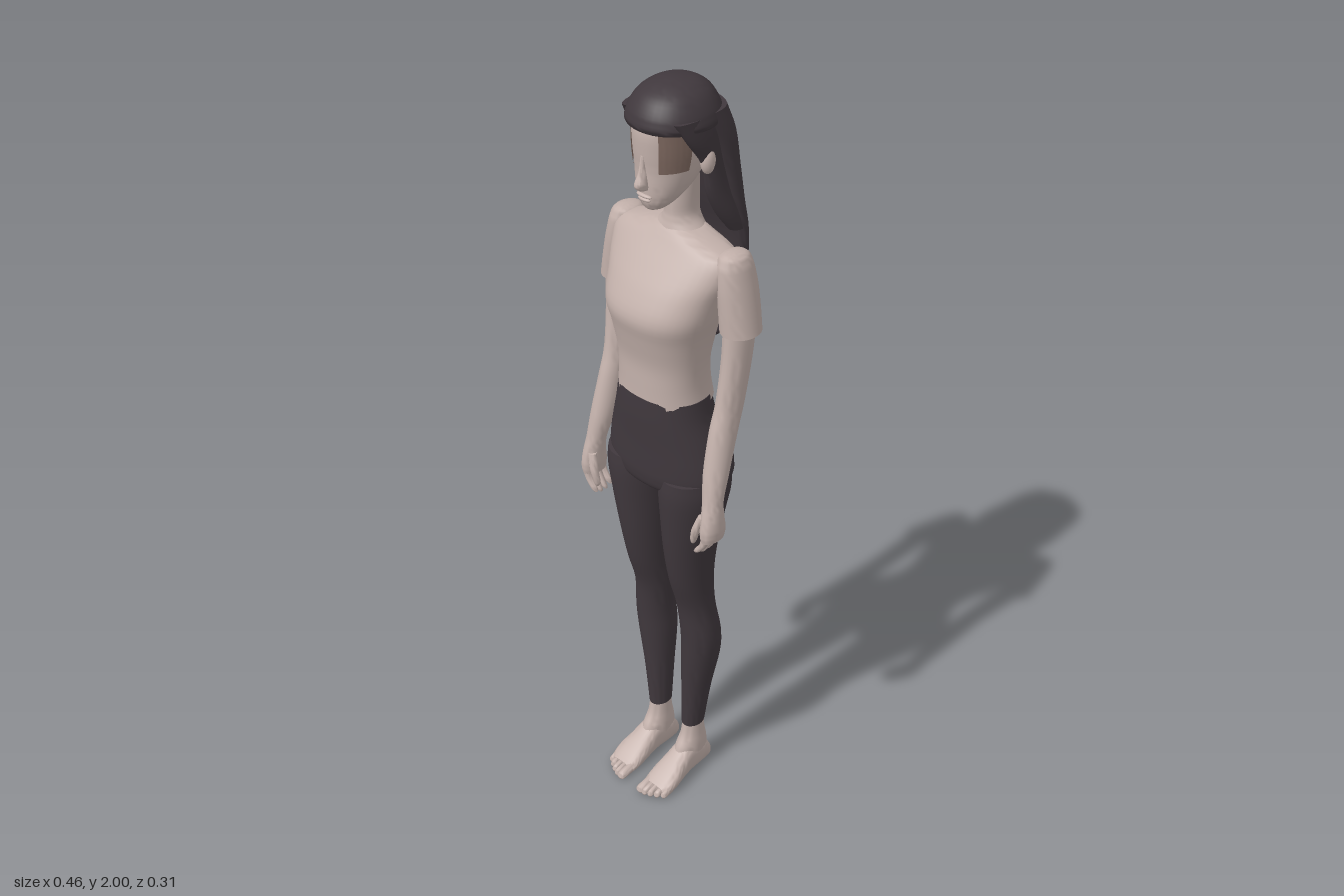
import * as THREE from 'three';
import { toCreasedNormals } from 'three/addons/utils/BufferGeometryUtils.js';

const mat = (name, color, side = THREE.FrontSide) => {
  const m = new THREE.MeshStandardMaterial({ color, side });
  m.name = name;
  return m;
};

// Smooths a list of rows with a Catmull-Rom spline.
function smoothRows(rows, sub) {
  const at = i => rows[Math.max(0, Math.min(rows.length - 1, i))], out = [];
  for (let i = 0; i < rows.length - 1; i++) {
    for (let k = 0; k < sub; k++) {
      const t = k / sub;
      out.push(rows[i].map((p1, c) => {
        const p0 = at(i - 1)[c], p2 = at(i + 1)[c], p3 = at(i + 2)[c];
        return 0.5 * (2 * p1 + (p2 - p0) * t + (2 * p0 - 5 * p1 + 4 * p2 - p3) * t * t
          + (3 * p1 - p0 - 3 * p2 + p3) * t * t * t);
      }));
    }
  }
  out.push(rows[rows.length - 1]);
  return out;
}

// Lofts rounded sections. axis 'y': rows [y, x0, x1, z0, z1] from the top down.
// axis 'z': rows [z, x0, x1, y0, y1] from back to front. An arc leaves the skin open.
function loft(rows, { axis = 'y', n = 28, sub = 4, power = 2, arc = null, grow = 0 } = {}) {
  const pos = [], idx = [], list = smoothRows(rows, sub);
  const [a0, a1] = arc || [0, Math.PI * 2], cols = arc ? n + 1 : n;
  const put = (w, u, v) => (axis === 'y' ? pos.push(u, w, v) : pos.push(u, v, w));
  const bend = c => Math.sign(c) * Math.abs(c) ** (2 / power);
  for (const [w, u0, u1, v0, v1] of list) {
    for (let j = 0; j < cols; j++) {
      const a = a0 + (a1 - a0) * j / n;
      put(w, (u0 + u1) / 2 + ((u1 - u0) / 2 + grow) * bend(Math.cos(a)),
        (v0 + v1) / 2 + ((v1 - v0) / 2 + grow) * bend(Math.sin(a)));
    }
  }
  for (let i = 0; i < list.length - 1; i++) {
    for (let j = 0; j < n; j++) {
      const a = i * cols + j, b = i * cols + (j + 1) % cols;
      idx.push(a, b, a + cols, b, b + cols, a + cols);
    }
  }
  if (!arc) {
    const last = (list.length - 1) * n, c = pos.length / 3;
    for (const [w, u0, u1, v0, v1] of [list[0], list[list.length - 1]]) put(w, (u0 + u1) / 2, (v0 + v1) / 2);
    for (let j = 0; j < n; j++) {
      const k = (j + 1) % n;
      idx.push(c, k, j, c + 1, last + j, last + k);
    }
  }
  const g = new THREE.BufferGeometry();
  g.setAttribute('position', new THREE.Float32BufferAttribute(pos, 3));
  g.setIndex(idx);
  return toCreasedNormals(g, 0.9);
}

// Mirrors rows to the other side when s is -1.
const flip = (rows, s) => rows.map(([w, a, b, c, d]) => (s > 0 ? [w, a, b, c, d] : [w, -b, -a, c, d]));

export function createModel() {
  const root = new THREE.Group();
  const skin = mat('skin', 0xc4b2ac), shirt = mat('shirt', 0xc2b0aa);
  const dark = mat('dark hair and trousers', 0x40383d);
  const shade = mat('eye shade', 0x806a61, THREE.DoubleSide);
  const add = (name, geo, m, parent = root) => {
    const mesh = new THREE.Mesh(geo, m);
    mesh.name = name;
    parent.add(mesh);
    return mesh;
  };
  const ball = (name, m, p, r) => {
    const b = add(name, new THREE.SphereGeometry(1, 16, 12), m);
    b.position.set(...p);
    b.scale.set(...r);
  };

  // Torso and trousers top
  add('shirtBody', loft([
    [1.657, -0.06, 0.06, -0.08, 0.005], [1.645, -0.105, 0.105, -0.085, 0.015],
    [1.625, -0.168, 0.168, -0.09, 0.03], [1.58, -0.168, 0.168, -0.098, 0.065],
    [1.53, -0.152, 0.152, -0.102, 0.1], [1.475, -0.14, 0.14, -0.1, 0.125],
    [1.42, -0.126, 0.126, -0.088, 0.115], [1.35, -0.115, 0.115, -0.072, 0.101],
    [1.29, -0.113, 0.113, -0.076, 0.1], [1.24, -0.118, 0.118, -0.084, 0.101]], { power: 2.3, n: 40 }), shirt);
  add('trousersTop', loft([
    [1.255, -0.118, 0.118, -0.08, 0.102], [1.2, -0.128, 0.128, -0.085, 0.103],
    [1.13, -0.152, 0.152, -0.108, 0.1], [1.07, -0.168, 0.168, -0.122, 0.099],
    [1.03, -0.169, 0.169, -0.12, 0.097], [1, -0.145, 0.145, -0.105, 0.088],
    [0.985, -0.08, 0.08, -0.07, 0.06]], { power: 2.15, n: 40 }), dark);

  // Neck and head
  add('neck', loft([
    [1.79, -0.045, 0.045, -0.1, 0.0], [1.72, -0.037, 0.037, -0.088, 0.0],
    [1.68, -0.038, 0.038, -0.086, 0.0], [1.652, -0.06, 0.06, -0.09, 0.008],
    [1.635, -0.08, 0.08, -0.09, 0.012]]), skin);
  const headRows = [
    [1.975, -0.04, 0.04, -0.06, 0.03], [1.95, -0.068, 0.068, -0.095, 0.066],
    [1.91, -0.075, 0.075, -0.11, 0.082], [1.86, -0.074, 0.074, -0.11, 0.081],
    [1.82, -0.069, 0.069, -0.095, 0.077], [1.78, -0.059, 0.059, -0.065, 0.077],
    [1.75, -0.045, 0.045, -0.025, 0.075], [1.73, -0.028, 0.028, 0.012, 0.068],
    [1.722, -0.012, 0.012, 0.03, 0.06]];
  add('head', loft(headRows, { n: 36, power: 2.1 }), skin);
  add('nose', loft([
    [1.855, -0.006, 0.006, 0.06, 0.083], [1.82, -0.008, 0.008, 0.06, 0.089],
    [1.79, -0.014, 0.014, 0.06, 0.101], [1.778, -0.013, 0.013, 0.06, 0.092]], { n: 14 }), skin);
  ball('upperLip', skin, [0, 1.761, 0.074], [0.022, 0.005, 0.008]);
  ball('lowerLip', skin, [0, 1.752, 0.073], [0.018, 0.005, 0.008]);
  for (const arc of [[0.2, 1.05], [Math.PI - 1.05, Math.PI - 0.2]]) {
    add('eyeShade', loft(headRows.slice(2, 5), { arc, n: 12, power: 2.1, grow: 0.0025 }), shade);
  }

  // Hair: crown with fringe, then the long back fall
  add('hairCrown', loft([
    [2, -0.015, 0.015, -0.035, -0.005], [1.993, -0.045, 0.045, -0.072, 0.025],
    [1.975, -0.073, 0.073, -0.1, 0.06], [1.945, -0.093, 0.093, -0.118, 0.083],
    [1.92, -0.1, 0.1, -0.127, 0.09], [1.912, -0.098, 0.098, -0.127, 0.086]], { n: 40, power: 2.1 }), dark);
  add('hairBack', loft([
    [1.94, -0.093, 0.093, -0.12, 0.02], [1.88, -0.104, 0.104, -0.136, -0.02],
    [1.8, -0.11, 0.11, -0.142, -0.045], [1.72, -0.116, 0.116, -0.148, -0.066],
    [1.64, -0.12, 0.12, -0.155, -0.092], [1.55, -0.115, 0.115, -0.157, -0.105],
    [1.45, -0.103, 0.103, -0.152, -0.108], [1.38, -0.078, 0.078, -0.138, -0.1],
    [1.345, -0.045, 0.045, -0.122, -0.094], [1.332, -0.012, 0.012, -0.112, -0.1]], { n: 40, power: 2.5 }), dark);

  for (const s of [1, -1]) {
    const side = s > 0 ? 'left' : 'right';
    const part = (name, rows, m, opt) => add(side + name, loft(flip(rows, s), opt), m);
    part('HairLock', [
      [1.94, 0.055, 0.094, -0.07, 0.06], [1.89, 0.07, 0.1, -0.07, 0.03],
      [1.83, 0.072, 0.102, -0.08, -0.012], [1.76, 0.07, 0.108, -0.1, -0.026],
      [1.7, 0.068, 0.116, -0.12, -0.055], [1.65, 0.08, 0.118, -0.14, -0.09]], dark, { n: 18 });
    ball(side + 'Ear', skin, [s * 0.09, 1.838, -0.026], [0.016, 0.032, 0.018]);

    // Arm and sleeve
    part('Sleeve', [
      [1.642, 0.15, 0.172, -0.05, -0.02], [1.63, 0.13, 0.192, -0.078, 0.005],
      [1.58, 0.13, 0.206, -0.09, 0.014], [1.52, 0.136, 0.219, -0.091, 0.015],
      [1.455, 0.141, 0.231, -0.088, 0.014]], shirt);
    part('Arm', [
      [1.48, 0.15, 0.218, -0.078, 0.006], [1.38, 0.151, 0.213, -0.07, 0.01],
      [1.27, 0.15, 0.207, -0.055, 0.024], [1.2, 0.149, 0.208, -0.035, 0.043],
      [1.1, 0.155, 0.214, 0.0, 0.066], [1.03, 0.168, 0.216, 0.024, 0.078],
      [0.99, 0.173, 0.22, 0.025, 0.088], [0.95, 0.175, 0.222, 0.02, 0.095],
      [0.925, 0.178, 0.218, 0.022, 0.092]], skin, { n: 22 });
    for (let i = 0; i < 4; i++) {
      const z = 0.033 + i * 0.0165, end = 0.885 - 0.012 * Math.sin((i + 0.5) * 0.8);
      part('Finger', [
        [0.945, 0.188, 0.212, z - 0.01, z + 0.01], [0.915, 0.183, 0.204, z - 0.009, z + 0.009],
        [end + 0.008, 0.166, 0.184, z - 0.008, z + 0.008], [end, 0.164, 0.174, z - 0.004, z + 0.004]],
      skin, { n: 10, sub: 3 });
    }
    part('Thumb', [
      [0.99, 0.172, 0.195, 0.066, 0.088], [0.95, 0.16, 0.181, 0.074, 0.096],
      [0.915, 0.154, 0.17, 0.075, 0.092], [0.905, 0.157, 0.165, 0.08, 0.088]], skin, { n: 10, sub: 3 });

    // Trouser leg
    part('TrouserLeg', [
      [1.04, 0.012, 0.16, -0.095, 0.092], [0.99, 0.005, 0.164, -0.102, 0.094],
      [0.9, 0.01, 0.15, -0.088, 0.086], [0.8, 0.015, 0.134, -0.076, 0.074],
      [0.7, 0.02, 0.124, -0.07, 0.055], [0.6, 0.024, 0.122, -0.074, 0.026],
      [0.5, 0.028, 0.131, -0.09, 0.016], [0.42, 0.027, 0.125, -0.094, 0.012],
      [0.3, 0.03, 0.104, -0.08, 0.006], [0.165, 0.033, 0.087, -0.067, 0.001]], dark);

    // Foot and toes
    part('Ankle', [
      [0.19, 0.036, 0.084, -0.062, -0.003], [0.13, 0.034, 0.087, -0.069, 0.006],
      [0.09, 0.03, 0.091, -0.077, 0.028], [0.04, 0.03, 0.09, -0.082, 0.04]], skin, { n: 22 });
    part('Foot', [
      [-0.088, 0.05, 0.07, 0.015, 0.035], [-0.08, 0.036, 0.084, 0.003, 0.055],
      [-0.05, 0.03, 0.09, 0, 0.085], [0, 0.029, 0.094, 0, 0.098],
      [0.04, 0.025, 0.1, 0, 0.077], [0.08, 0.021, 0.107, 0, 0.053],
      [0.108, 0.022, 0.104, 0, 0.035], [0.12, 0.026, 0.096, 0.004, 0.028]],
    skin, { axis: 'z', power: 2.5 });
    for (let i = 0; i < 5; i++) {
      const x = 0.036 + i * 0.0152, r = i ? 0.0085 : 0.0125, tip = [0.155, 0.153, 0.147, 0.138, 0.127][i];
      part('Toe', [
        [0.09, x - r, x + r, 0.002, 0.034], [tip - 0.012, x - r, x + r, 0.001, 0.024],
        [tip - 0.003, x - r * 0.8, x + r * 0.8, 0.003, 0.019], [tip, x - r * 0.3, x + r * 0.3, 0.007, 0.014]],
      skin, { axis: 'z', n: 12, sub: 3 });
    }
  }
  return root;
}
